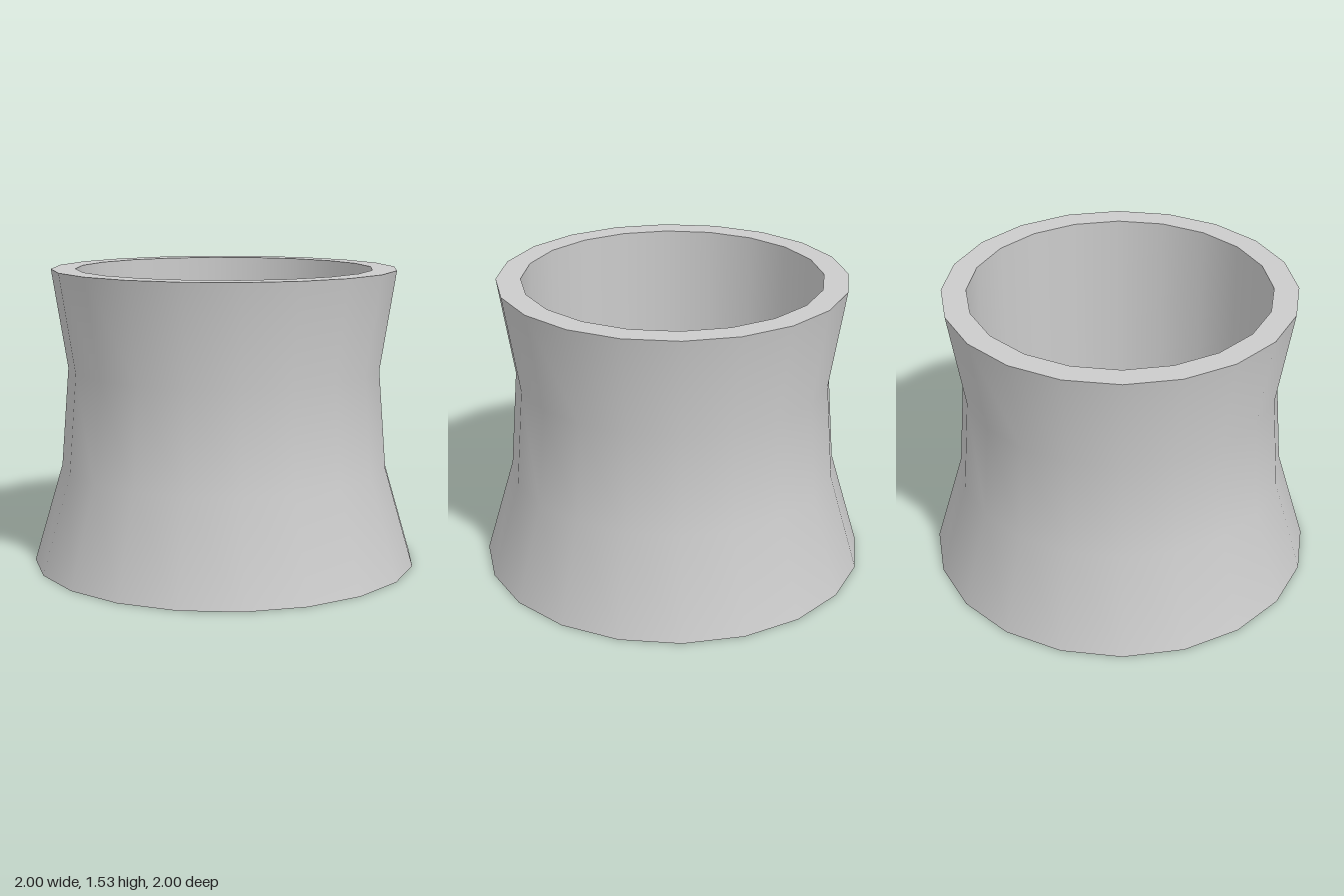
import * as THREE from 'three';

const SIDES = 20;
const HEIGHT = 1.53;
const BORE = 0.765;  // inner radius
const FLOOR = 0.12;  // height of the inner floor

export function createModel() {
  const group = new THREE.Group();
  group.name = 'pot';
  const material = new THREE.MeshStandardMaterial({ color: 0xcccccc });

  // Each profile is its own lathe, so the edges between parts stay sharp
  const addLathe = (name, profile) => {
    const points = profile.map(([r, y]) => new THREE.Vector2(r, y));
    const mesh = new THREE.Mesh(new THREE.LatheGeometry(points, SIDES), material);
    mesh.name = name;
    group.add(mesh);
  };

  // Closed underside
  addLathe('base', [[0, 0], [1, 0]]);
  // Waisted outer wall with a flared foot and lip
  addLathe('outerWall', [[1, 0], [0.85, 0.51], [0.81, 1.02], [0.89, HEIGHT]]);
  // Flat ring at the top
  addLathe('rim', [[0.89, HEIGHT], [BORE, HEIGHT]]);
  // Straight hollow and its floor
  addLathe('innerWall', [[BORE, HEIGHT], [BORE, FLOOR]]);
  addLathe('innerFloor', [[BORE, FLOOR], [0, FLOOR]]);

  return group;
}
